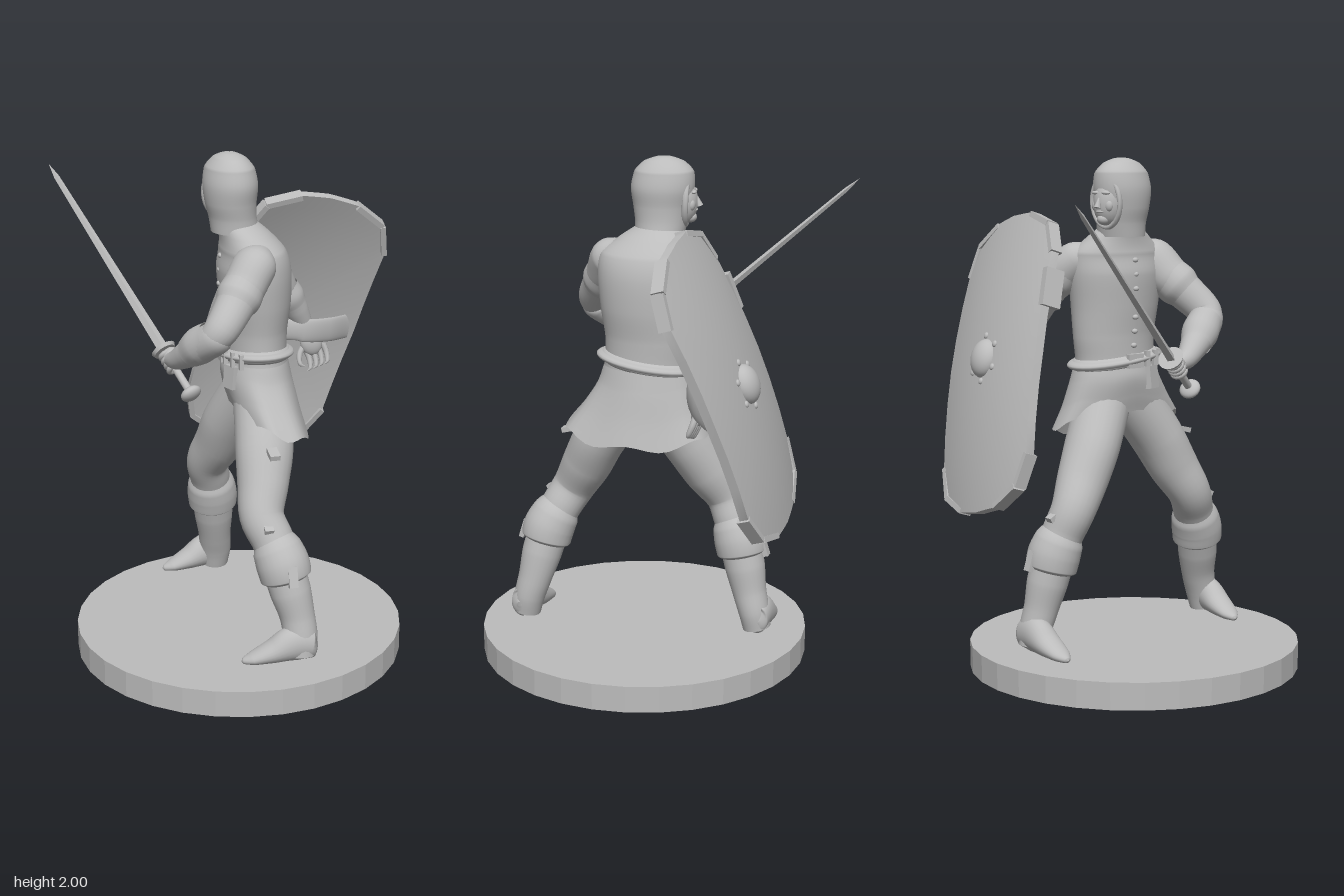
import * as THREE from 'three';
import { ParametricGeometry } from 'three/addons/geometries/ParametricGeometry.js';
import { toCreasedNormals } from 'three/addons/utils/BufferGeometryUtils.js';

const V = (x, y, z) => new THREE.Vector3(x, y, z);
const lerp = THREE.MathUtils.lerp;

export function createModel() {
  const model = new THREE.Group();
  const stone = new THREE.MeshStandardMaterial({ color: 0xbcbcbc, side: THREE.DoubleSide });
  stone.name = 'grey stone';

  function add(name, geo, pos = [0, 0, 0], parent = model, scale = [1, 1, 1], rot = [0, 0, 0]) {
    const m = new THREE.Mesh(geo, stone);
    m.name = name;
    m.position.set(...pos);
    m.scale.set(...scale);
    m.rotation.set(...rot);
    parent.add(m);
    return m;
  }
  const ball = (name, pos, scale, parent = model, rot) =>
    add(name, new THREE.SphereGeometry(1, 20, 14), pos, parent, scale, rot);

  // Smooth skin through sections [x, y, z, radius along ref, radius across]
  function loft(name, sections, ref, { parent = model, level = false, seg = 24, edit } = {}) {
    const path = new THREE.CatmullRomCurve3(sections.map(s => V(s[0], s[1], s[2])));
    const radii = new THREE.CatmullRomCurve3(sections.map(s => V(s[3], s[4] ?? s[3], 0)));
    const geo = new ParametricGeometry((u, v, out) => {
      const t = Math.min(1, Math.max(0, v)), a = u * Math.PI * 2;
      const T = level ? V(0, 1, 0) : path.getTangent(t);
      const B = T.clone().cross(ref).normalize();
      const A = B.clone().cross(T);
      const r = radii.getPoint(t);
      out.copy(path.getPoint(t)).addScaledVector(A, r.x * Math.cos(a)).addScaledVector(B, r.y * Math.sin(a));
      if (edit) edit(out, a, t);
    }, seg, (sections.length - 1) * 5);
    return add(name, geo, [0, 0, 0], parent);
  }
  const X = V(1, 0, 0), Y = V(0, 1, 0), Z = V(0, 0, 1);

  // Round base
  add('base', new THREE.CylinderGeometry(0.652, 0.652, 0.105, 32).toNonIndexed(), [-0.03, 0.0525, 0.03])
    .geometry.computeVertexNormals();

  // Jacket (chest faces -x), radii: depth along x, width along z
  loft('jacket', [
    [0.045, 1.17, -0.01, 0.125, 0.178], [0.045, 1.22, -0.01, 0.12, 0.17], [0.045, 1.31, -0.015, 0.122, 0.175],
    [0.045, 1.43, -0.01, 0.135, 0.188], [0.04, 1.55, -0.01, 0.14, 0.2], [0.035, 1.63, -0.012, 0.125, 0.195],
    [0.01, 1.69, -0.02, 0.097, 0.14], [-0.02, 1.735, -0.03, 0.075, 0.085]], X, { level: true, seg: 36 });
  // Flared skirt with a hem that dips at the back
  loft('skirt', [
    [0.045, 1.2, -0.01, 0.125, 0.175], [0.05, 1.13, -0.007, 0.137, 0.195],
    [0.068, 1.03, 0.01, 0.142, 0.24], [0.088, 0.945, 0.025, 0.146, 0.288]].reverse(), X,
    { level: true, seg: 40, edit: (p, a, t) => {
      p.y += (1 - t) * (0.015 - 0.05 * Math.cos(a) + 0.012 * Math.cos(6 * a));
    } });
  // Belt, sloping down towards -z
  const slope = p => { p.y += 0.12 * p.z; };
  loft('belt', [[0.045, 1.195, -0.01, 0.122, 0.17], [0.045, 1.205, -0.01, 0.131, 0.182],
    [0.045, 1.235, -0.01, 0.131, 0.182], [0.045, 1.245, -0.01, 0.118, 0.168]], X, { level: true, seg: 36, edit: slope });
  add('beltBuckle', new THREE.BoxGeometry(0.02, 0.055, 0.07), [-0.088, 1.22, -0.01]);
  add('pouch', new THREE.BoxGeometry(0.035, 0.09, 0.06), [-0.07, 1.15, 0.08], model, [1, 1, 1], [0, 0.4, -0.1]);
  for (const z of [0.05, 0.1, 0.14])
    add('beltLoop', new THREE.BoxGeometry(0.015, 0.06, 0.02), [0.045 - 0.138 * Math.sqrt(1 - (z / 0.19) ** 2), 1.225, z]);
  for (let i = 0; i < 7; i++) {
    const y = 1.28 + i * 0.055;
    ball('button', [-0.08 - 0.016 * Math.sin((y - 1.26) * 7), y, -0.012], [0.01, 0.01, 0.013]);
  }

  // Hooded head, turned slightly towards -x
  const head = new THREE.Group();
  head.name = 'head';
  head.position.set(-0.045, 0, -0.045);
  head.rotation.y = 0.2;
  model.add(head);
  loft('hood', [
    [0.015, 1.7, 0.015, 0.092, 0.095], [0.008, 1.75, 0.01, 0.09, 0.1], [0, 1.81, 0.008, 0.096, 0.11],
    [0, 1.88, 0.005, 0.102, 0.122], [0, 1.94, 0, 0.092, 0.115], [0, 1.98, 0, 0.06, 0.078],
    [0, 1.997, 0, 0.025, 0.03], [0, 2.0, 0, 0.002, 0.002]], X, { parent: head, level: true, seg: 32 });
  ball('face', [0, 1.828, -0.072], [0.06, 0.09, 0.058], head);
  ball('chin', [0, 1.768, -0.1], [0.026, 0.022, 0.026], head);
  add('hoodRim', new THREE.TorusGeometry(0.07, 0.008, 8, 28), [0, 1.832, -0.086], head, [1, 1.35, 1.5], [-0.05, 0, 0]);
  add('nose', new THREE.ConeGeometry(0.014, 0.055, 8), [0, 1.838, -0.128], head, [1, 1, 1], [0.3, 0, 0]);
  ball('mouth', [0, 1.797, -0.12], [0.02, 0.006, 0.01], head);
  for (const s of [-1, 1]) {
    ball('brow', [s * 0.024, 1.868, -0.116], [0.022, 0.007, 0.01], head);
    ball('cheek', [s * 0.032, 1.82, -0.106], [0.018, 0.024, 0.016], head);
  }

  // Sword arm (+z side)
  loft('swordSleeve', [
    [0.045, 1.635, 0.1, 0.05], [0.0, 1.6, 0.145, 0.09, 0.083], [-0.045, 1.54, 0.18, 0.086, 0.082],
    [-0.1, 1.475, 0.23, 0.074], [-0.16, 1.405, 0.275, 0.066], [-0.188, 1.37, 0.27, 0.06]], Z);
  loft('swordForearm', [
    [-0.15, 1.41, 0.285, 0.03], [-0.175, 1.38, 0.275, 0.064], [-0.215, 1.335, 0.22, 0.066],
    [-0.255, 1.28, 0.145, 0.054], [-0.285, 1.24, 0.085, 0.04], [-0.3, 1.225, 0.04, 0.03]], Y);
  loft('swordCuff', [[-0.19, 1.37, 0.255, 0.066], [-0.222, 1.33, 0.205, 0.072], [-0.25, 1.29, 0.16, 0.06]], Y);
  loft('swordSleeveHem', [[-0.05, 1.535, 0.185, 0.082], [-0.075, 1.505, 0.207, 0.086], [-0.1, 1.475, 0.23, 0.073]], Z);

  // Sword and its fist, blade along local +y
  const sword = new THREE.Group();
  sword.name = 'sword';
  sword.position.set(-0.3, 1.22, 0.02);
  sword.quaternion.setFromUnitVectors(Y, V(-0.33, 0.63, -0.7).normalize());
  model.add(sword);
  add('blade', toCreasedNormals(new THREE.CylinderGeometry(0.011, 0.022, 0.9, 4), 0.4), [0, 0.48, 0], sword, [1, 1, 0.8]);
  add('bladeTip', toCreasedNormals(new THREE.ConeGeometry(0.011, 0.07, 4), 0.4), [0, 0.965, 0], sword, [1, 1, 0.8]);
  add('grip', new THREE.CylinderGeometry(0.015, 0.015, 0.2, 12), [0, -0.05, 0], sword);
  add('guard', new THREE.CylinderGeometry(0.05, 0.044, 0.014, 24), [0, 0.045, 0], sword);
  ball('pommel', [0, -0.165, 0], [0.042, 0.024, 0.042], sword);
  ball('fist', [0.012, -0.005, 0.012], [0.038, 0.045, 0.036], sword);
  for (let i = 0; i < 4; i++)
    add('finger', new THREE.TorusGeometry(0.026, 0.011, 8, 16), [0, -0.04 + i * 0.021, 0], sword, [1, 1, 1], [Math.PI / 2, 0, 0]);

  // Shield arm (-z side)
  loft('shieldSleeve', [
    [0.05, 1.63, -0.12, 0.05], [0.085, 1.6, -0.172, 0.08, 0.075], [0.135, 1.54, -0.215, 0.075],
    [0.19, 1.46, -0.245, 0.066], [0.235, 1.38, -0.268, 0.058], [0.25, 1.35, -0.28, 0.054]], Z);
  loft('shieldForearm', [
    [0.225, 1.41, -0.265, 0.045], [0.25, 1.36, -0.275, 0.06], [0.29, 1.29, -0.288, 0.053],
    [0.33, 1.21, -0.3, 0.038], [0.345, 1.165, -0.305, 0.028]], Z);
  loft('shieldCuff', [[0.235, 1.39, -0.27, 0.06], [0.255, 1.35, -0.275, 0.066], [0.275, 1.315, -0.282, 0.06]], Z);
  loft('shieldSleeveHem', [[0.11, 1.575, -0.196, 0.076], [0.135, 1.54, -0.215, 0.081], [0.155, 1.51, -0.227, 0.072]], Z);
  ball('palm', [0.365, 1.13, -0.305], [0.045, 0.055, 0.025], model, [0, 0, 0.4]);
  for (let i = 0; i < 5; i++) {
    const thumb = i === 4, x = thumb ? 0.335 : 0.345 + i * 0.024, y = thumb ? 1.12 : 1.1 + i * 0.008;
    const tipX = x + (thumb ? -0.02 : 0.012);
    loft('shieldFinger', [[x, y, -0.31, 0.013], [tipX, y - 0.035, -0.3, 0.012],
      [tipX, y - 0.07, -0.285, 0.009], [x, y - 0.08, -0.28, 0.001]], X, { seg: 8 });
  }

  // Legs: [x, z] at hip, thigh, knee, cuff, ankle, heel and toe
  function leg(side, p) {
    const g = new THREE.Group();
    g.name = side + 'Leg';
    model.add(g);
    const at = (i, y, r, rb) => [p[i][0], y, p[i][1], r, rb];
    const mix = (i, k, y, r) => [lerp(p[i][0], p[i + 1][0], k), y, lerp(p[i][1], p[i + 1][1], k), r];
    const out = Math.sign(p[4][1]);
    loft('trouser', [at(0, 1.06, 0.11), at(1, 0.89, 0.113, 0.105), mix(1, 0.5, 0.77, 0.1), at(2, 0.66, 0.086),
      mix(2, 0.5, 0.58, 0.082), at(3, 0.48, 0.08)], X, { parent: g });
    loft('kneeCuff', [mix(2, 0.5, 0.585, 0.075), mix(2, 0.7, 0.55, 0.095), at(3, 0.49, 0.103),
      mix(3, 0.2, 0.445, 0.1), mix(3, 0.3, 0.425, 0.07)], X, { parent: g });
    loft('boot', [at(3, 0.48, 0.082), mix(3, 0.5, 0.39, 0.08), at(4, 0.29, 0.068),
      [p[4][0] + 0.008, 0.21, p[4][1] + out * 0.022, 0.066, 0.062],
      [p[4][0] + 0.008, 0.14, p[4][1] + out * 0.035, 0.057, 0.055]], X, { parent: g });
    // Pointed shoe: [fraction heel to toe, height, half height, half width]
    const foot = [[0, 0.185, 0.01, 0.01], [0.05, 0.185, 0.055, 0.042], [0.3, 0.195, 0.072, 0.053],
      [0.6, 0.165, 0.045, 0.054], [0.85, 0.142, 0.024, 0.04], [0.98, 0.132, 0.011, 0.014], [1, 0.131, 0.002, 0.002]];
    loft('shoe', foot.map(([k, y, a, b]) => [lerp(p[5][0], p[6][0], k), y, lerp(p[5][1], p[6][1], k), a, b]), Y, { parent: g });
    add('kneeBuckle', new THREE.BoxGeometry(0.035, 0.02, 0.05), [p[2][0], 0.65, p[2][1] + out * 0.09], g, [1, 1, 1], [out * 0.5, 0, 0]);
    add('cuffStrap', new THREE.BoxGeometry(0.035, 0.08, 0.02), [p[3][0] + 0.01, 0.48, p[3][1] + out * 0.1], g, [1, 1, 1], [-out * 0.3, 0, 0]);
  }
  leg('left', [[0.05, 0.07], [0.03, 0.19], [-0.015, 0.32], [0.045, 0.41], [0.09, 0.455], [0.16, 0.5], [-0.135, 0.47]]);
  leg('right', [[0.05, -0.06], [-0.01, -0.16], [-0.075, -0.3], [-0.04, -0.365], [-0.02, -0.41], [0.045, -0.455], [-0.24, -0.44]]);
  add('thighBuckle', new THREE.BoxGeometry(0.04, 0.02, 0.06), [0.03, 0.91, 0.32], model, [1, 1, 1], [0.25, 0, 0]);

  // Shield: local x across, y along its length, -z outwards
  const shield = new THREE.Group();
  shield.name = 'shield';
  const U = V(0.223, 0.926, 0.306).normalize(), W = V(0.972, -0.235, 0).normalize();
  W.addScaledVector(U, -W.dot(U)).normalize();
  shield.quaternion.setFromRotationMatrix(new THREE.Matrix4().makeBasis(W, U, W.clone().cross(U)));
  shield.position.set(0.275, 1.2, -0.378);
  model.add(shield);
  const half = [[0.31, 0], [0.3, 0.4], [0.25, 0.525], [0.12, 0.59], [0, 0.6], [-0.12, 0.59], [-0.25, 0.525], [-0.3, 0.4]];
  const rim = [...half, ...half.map(([x, y]) => [-x, -y])];
  const dome = (x, y) => -0.04 * (1 - (x / 0.31) ** 2) - 0.055 * (1 - (y / 0.6) ** 2);
  const shell = new ParametricGeometry((u, v, out) => {
    const f = u * 16, i = Math.floor(f), a = rim[(i + 16) % 16], b = rim[(i + 17) % 16];
    const k = Math.max(0.001, Math.min(1, (v < 0.5 ? v : 1 - v) * 2.2));
    const x = lerp(a[0], b[0], f - i) * k, y = lerp(a[1], b[1], f - i) * k;
    out.set(x, y, dome(x, y) + 0.035 * THREE.MathUtils.clamp((v - 10 / 22) * 11, 0, 1));
  }, 48, 22);
  add('shieldBoard', toCreasedNormals(shell, 0.6), [0, 0, 0], shield);
  // Metal binding on the corners
  for (const i of [1, 2, 5, 6, 9, 10, 13, 14]) {
    const a = rim[i], b = rim[(i + 1) % 16], x = (a[0] + b[0]) / 2, y = (a[1] + b[1]) / 2;
    const len = Math.hypot(b[0] - a[0], b[1] - a[1]);
    add('cornerBinding', new THREE.BoxGeometry(len, 0.022, 0.05), [x * 0.99, y * 0.99, dome(x, y) + 0.018], shield,
      [1, 1, 1], [0, 0, Math.atan2(b[1] - a[1], b[0] - a[0])]);
  }
  add('sideBinding', new THREE.BoxGeometry(0.03, 0.15, 0.08), [-0.305, 0.25, -0.015], shield);
  // Boss with rivets
  add('boss', new THREE.SphereGeometry(1, 24, 10, 0, Math.PI * 2, 0, Math.PI / 2).rotateX(-Math.PI / 2),
    [0, 0, -0.088], shield, [0.068, 0.078, 0.05]);
  for (let i = 0; i < 6; i++) {
    const a = i * Math.PI / 3 + 0.5, x = 0.08 * Math.cos(a), y = 0.092 * Math.sin(a);
    ball('rivet', [x, y, dome(x, y)], [0.013, 0.013, 0.008], shield);
  }
  // Arm strap on the inside
  loft('armStrap', [[0.08, 1.25, -0.355, 0.045, 0.01], [0.2, 1.22, -0.295, 0.048, 0.012], [0.32, 1.2, -0.262, 0.048, 0.012],
    [0.44, 1.18, -0.31, 0.05, 0.012], [0.55, 1.16, -0.4, 0.05, 0.01]], Y);

  return model;
}
